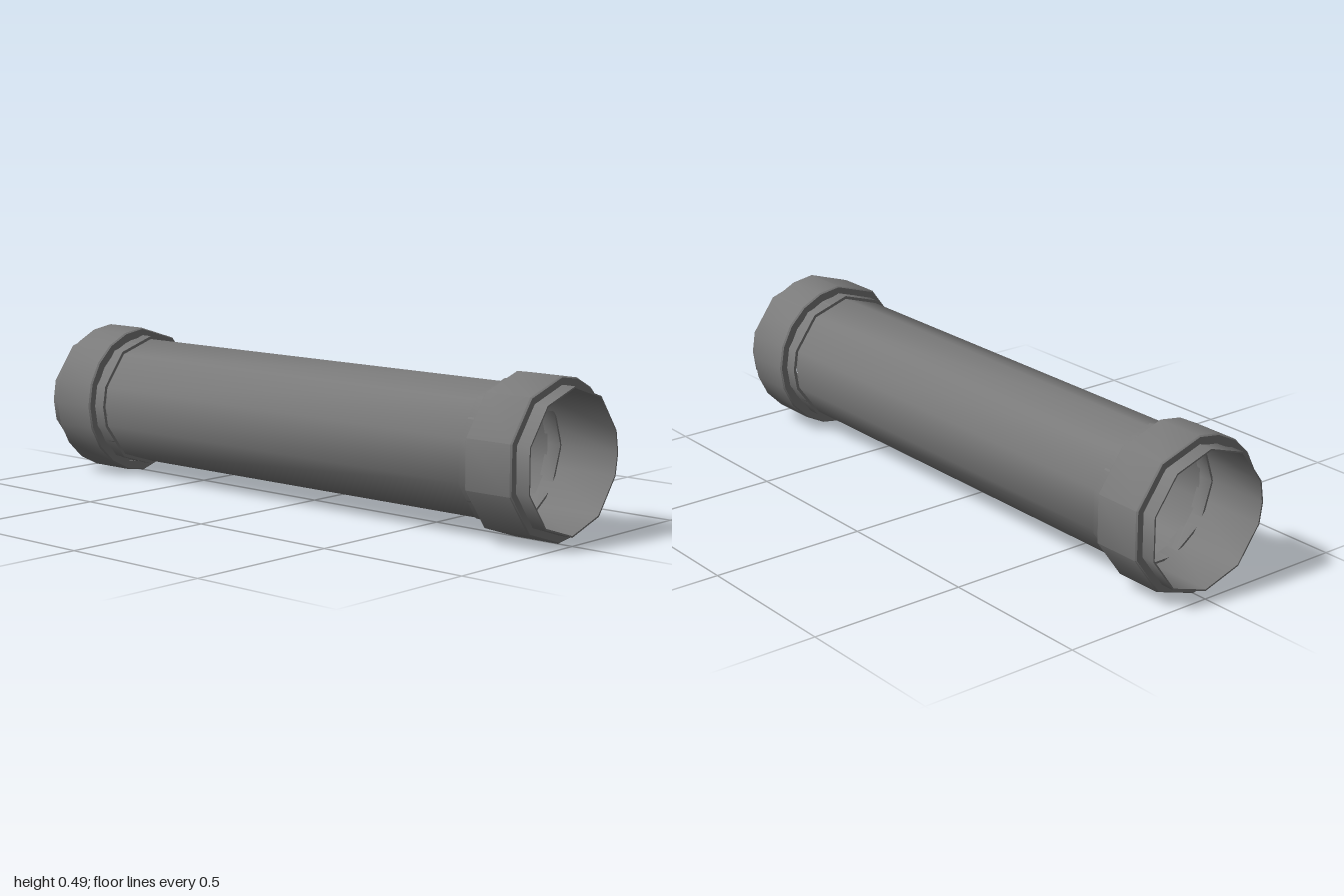
import * as THREE from 'three';
import { toCreasedNormals } from 'three/addons/utils/BufferGeometryUtils.js';

const AXIS_Y = 0.2435;
const STEP = Math.PI / 10;

// Sweeps an (r, z) profile around the z axis through a list of angles
function sweep(name, profile, angles, material) {
  const pos = [], index = [], n = profile.length;
  for (const a of angles) {
    for (const [r, z] of profile) pos.push(r * Math.cos(a), r * Math.sin(a), z);
  }
  for (let i = 0; i < angles.length; i++) {
    const k = (i + 1) % angles.length;
    for (let j = 0; j < n - 1; j++) {
      const a = i * n + j, b = k * n + j;
      index.push(a, b, a + 1, b, b + 1, a + 1);
    }
  }
  const geometry = new THREE.BufferGeometry();
  geometry.setAttribute('position', new THREE.Float32BufferAttribute(pos, 3));
  geometry.setIndex(index);
  const mesh = new THREE.Mesh(toCreasedNormals(geometry, 0.66), material);
  mesh.name = name;
  return mesh;
}

// Ten-sided ring of angles, plus the in-between angles accepted by keep(k)
function ringAngles(keep) {
  const out = [];
  for (let k = 0; k < 20; k++) if (k % 2 === 1 || keep(k)) out.push(k * STEP);
  return out;
}

export function createModel() {
  const group = new THREE.Group();
  group.name = 'pipe';
  const material = new THREE.MeshStandardMaterial({ color: 0x7a7a7a, side: THREE.DoubleSide });

  const tubeRing = ringAngles(() => false);
  const socketRing = ringAngles((k) => k === 0);
  const collarRing = ringAngles((k) => Math.cos(k * STEP) > 0.01);
  const lipRing = [0, 2, 4, 5, 6, 8, 9, 11, 12, 14, 16, 18].map((k) => k * STEP);

  // Long thin-walled tube
  const tube = sweep('tube', [[0.208, -0.76], [0.208, 0.76]], tubeRing, material);
  tube.position.y = AXIS_Y;
  group.add(tube);

  // Socket, the lip inside it that meets the tube, and the thick collar around it
  const socketProfile = [
    [0.213, 0.75], [0.213, 1], [0.218, 1], [0.218, 0.75], [0.208, 0.75],
  ];
  const lipProfile = [[0.208, 0.75], [0.208, 0.8], [0.215, 0.8]];
  const collarProfile = [
    [0.214, 0.955], [0.239, 0.955], [0.243, 0.95], [0.243, 0.795],
    [0.239, 0.79], [0.214, 0.79],
  ];

  // The two end fittings are half a turn apart
  for (const [name, turn] of [['frontFitting', 0], ['backFitting', Math.PI]]) {
    const fitting = new THREE.Group();
    fitting.name = name;
    fitting.add(sweep('socket', socketProfile, socketRing, material));
    fitting.add(sweep('innerLip', lipProfile, lipRing, material));
    fitting.add(sweep('collar', collarProfile, collarRing, material));
    fitting.position.y = AXIS_Y;
    fitting.rotation.y = turn;
    group.add(fitting);
  }
  return group;
}
